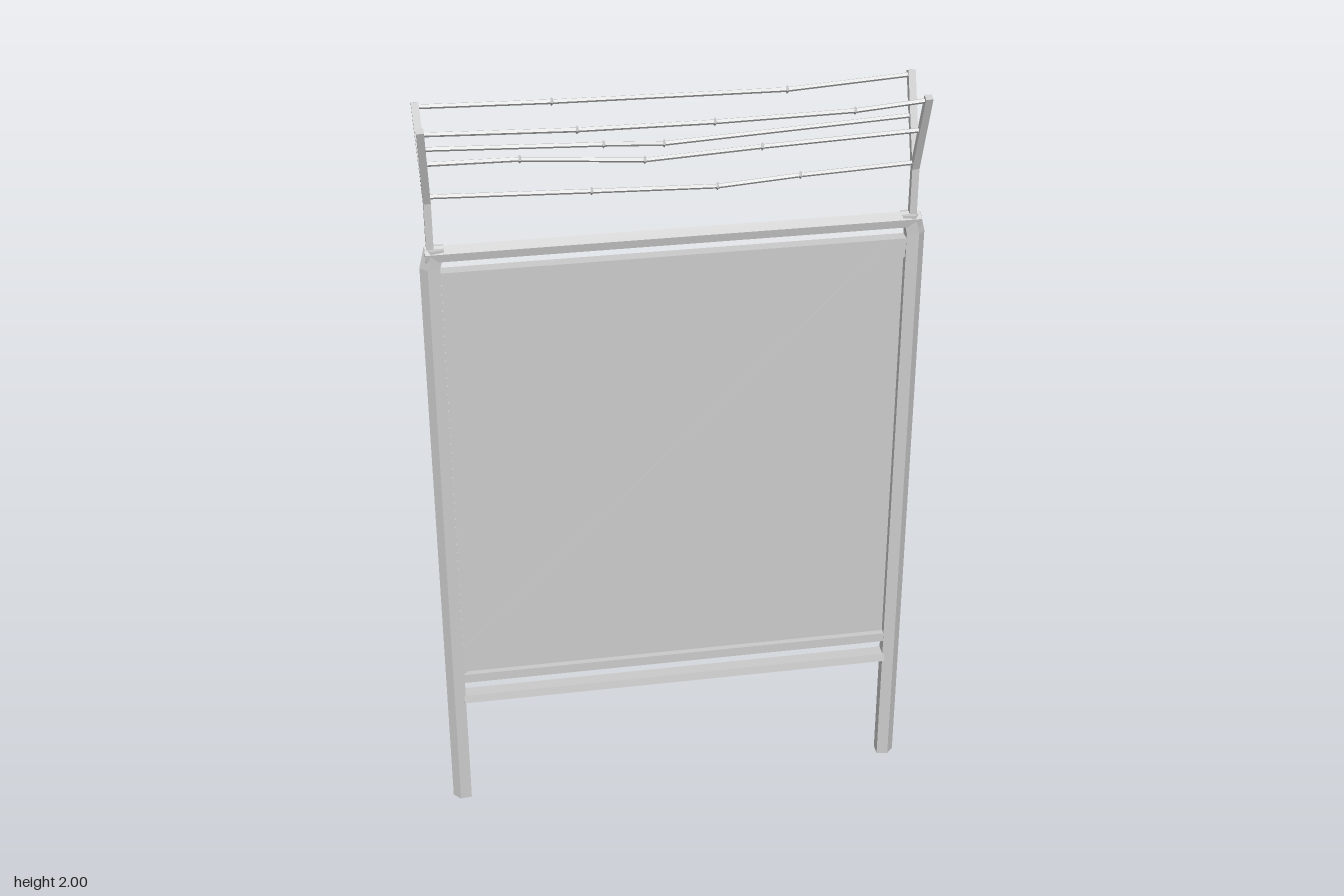
import * as THREE from 'three';

const metal = new THREE.MeshStandardMaterial({ color: 0xcccccc, flatShading: true });
const sheet = new THREE.MeshStandardMaterial({ color: 0xcccccc, side: THREE.DoubleSide });
const V = (x, y, z) => new THREE.Vector3(x, y, z);

// Five-sided bar with its ridge towards +x, extruded along z
function ridgedBar(r, halfWidth, length, steps = 1) {
  const section = new THREE.Shape([
    [r, 0], [0.31 * r, halfWidth], [-0.81 * r, halfWidth * 0.8],
    [-0.81 * r, -halfWidth * 0.8], [0.31 * r, -halfWidth],
  ].map(([x, y]) => new THREE.Vector2(x, y)));
  return new THREE.ExtrudeGeometry(section, { depth: length, steps, bevelEnabled: false });
}

// Straight bar between two points
function strut(a, b, radius, sides, turn = 0) {
  const dir = b.clone().sub(a);
  const geo = new THREE.CylinderGeometry(radius, radius, dir.length(), sides);
  geo.rotateY(turn);
  geo.applyQuaternion(new THREE.Quaternion().setFromUnitVectors(V(0, 1, 0), dir.normalize()));
  const mid = a.clone().add(b).multiplyScalar(0.5);
  return geo.translate(mid.x, mid.y, mid.z);
}

export function createModel() {
  const model = new THREE.Group();
  const add = (name, geo, mat = metal, parent = model) => {
    const mesh = new THREE.Mesh(geo, mat);
    mesh.name = name;
    parent.add(mesh);
    return mesh;
  };

  // Posts, with the top bent slightly inwards
  for (const side of [1, -1]) {
    const geo = ridgedBar(0.0265, 0.02, 1.66, 2).rotateX(-Math.PI / 2);
    const p = geo.attributes.position;
    for (let i = 0; i < p.count; i++) {
      if (p.getY(i) > 1.6) p.setX(i, p.getX(i) - 0.012);
      else if (p.getY(i) > 0.5) p.setY(i, 1.61);
    }
    geo.translate(0.5875, 0, 0);
    if (side < 0) geo.rotateY(Math.PI);
    geo.computeVertexNormals();
    add(side > 0 ? 'leftPost' : 'rightPost', geo);
  }

  // Top and bottom rails, ridges facing outwards
  for (const [name, y, length, dir] of [['topRail', 1.645, 1.2, 1], ['bottomRail', 0.33, 1.14, -1]]) {
    const geo = ridgedBar(0.0195, 0.021, length).translate(0, 0, -length / 2);
    geo.rotateY(Math.PI / 2).rotateX(dir * Math.PI / 2).translate(0, y, 0);
    add(name, geo);
  }

  // Infill sheet, its edge bars and the diagonal brace
  add('panelSheet', new THREE.PlaneGeometry(1.13, 1.19).translate(0, 0.99, 0), sheet);
  add('panelTopBar', new THREE.BoxGeometry(1.14, 0.03, 0.03).translate(0, 1.584, 0));
  add('panelBottomBar', new THREE.BoxGeometry(1.14, 0.026, 0.03).translate(0, 0.4, 0));
  const brace = new THREE.Shape([
    [-0.566, 0.41], [0.566, 1.546], [0.566, 1.572], [0.51, 1.572], [-0.566, 0.49],
  ].map(([x, y]) => new THREE.Vector2(x, y)));
  add('diagonalBrace', new THREE.ExtrudeGeometry(brace, { depth: 0.018, bevelEnabled: false })
    .translate(0, 0, -0.009));

  // Forked brackets on the post tops
  for (const [name, base, tip] of [['leftBracket', 0.581, 0.581], ['rightBracket', -0.587, -0.597]]) {
    const bracket = new THREE.Group();
    bracket.name = name;
    model.add(bracket);
    const fork = V(base, 1.79, 0);
    add('stem', strut(V(base, 1.64, 0), fork, 0.0125, 4, Math.PI / 4), metal, bracket);
    for (const s of [1, -1]) {
      add('arm', strut(V(base, 1.78, 0), V(tip, 1.995, s * 0.083), 0.0125, 4, Math.PI / 4), metal, bracket);
    }
  }

  // Sagging wires: a knot sits on every inner point
  const wires = {
    lowerWire: [[-0.585, 1.793, 0], [-0.2, 1.777, -0.002], [0.1, 1.768, 0.001], [0.3, 1.782, 0.002], [0.58, 1.793, 0]],
    backMiddleWire: [[-0.59, 1.893, -0.045], [-0.165, 1.877, -0.04], [-0.02, 1.866, -0.046], [0.58, 1.895, -0.046]],
    frontMiddleWire: [[-0.59, 1.895, 0.043], [-0.37, 1.888, 0.035], [-0.08, 1.868, 0.043], [0.2, 1.876, 0.031], [0.58, 1.895, 0.042]],
    backTopWire: [[-0.595, 1.985, -0.08], [-0.28, 1.977, -0.077], [0.28, 1.968, -0.078], [0.58, 1.985, -0.08]],
    frontTopWire: [[-0.595, 1.985, 0.08], [-0.24, 1.968, 0.072], [0.08, 1.963, 0.068], [0.41, 1.968, 0.07], [0.58, 1.985, 0.078]],
  };
  for (const [name, list] of Object.entries(wires)) {
    const wire = new THREE.Group();
    wire.name = name;
    model.add(wire);
    const pts = list.map((p) => V(...p));
    for (let i = 1; i < pts.length; i++) {
      add('strand', strut(pts[i - 1], pts[i], 0.006, 5), metal, wire);
      if (i < pts.length - 1) {
        const knot = add('knot', new THREE.OctahedronGeometry(0.011), metal, wire);
        knot.position.copy(pts[i]);
        knot.scale.x = 0.8;
      }
    }
  }
  return model;
}
